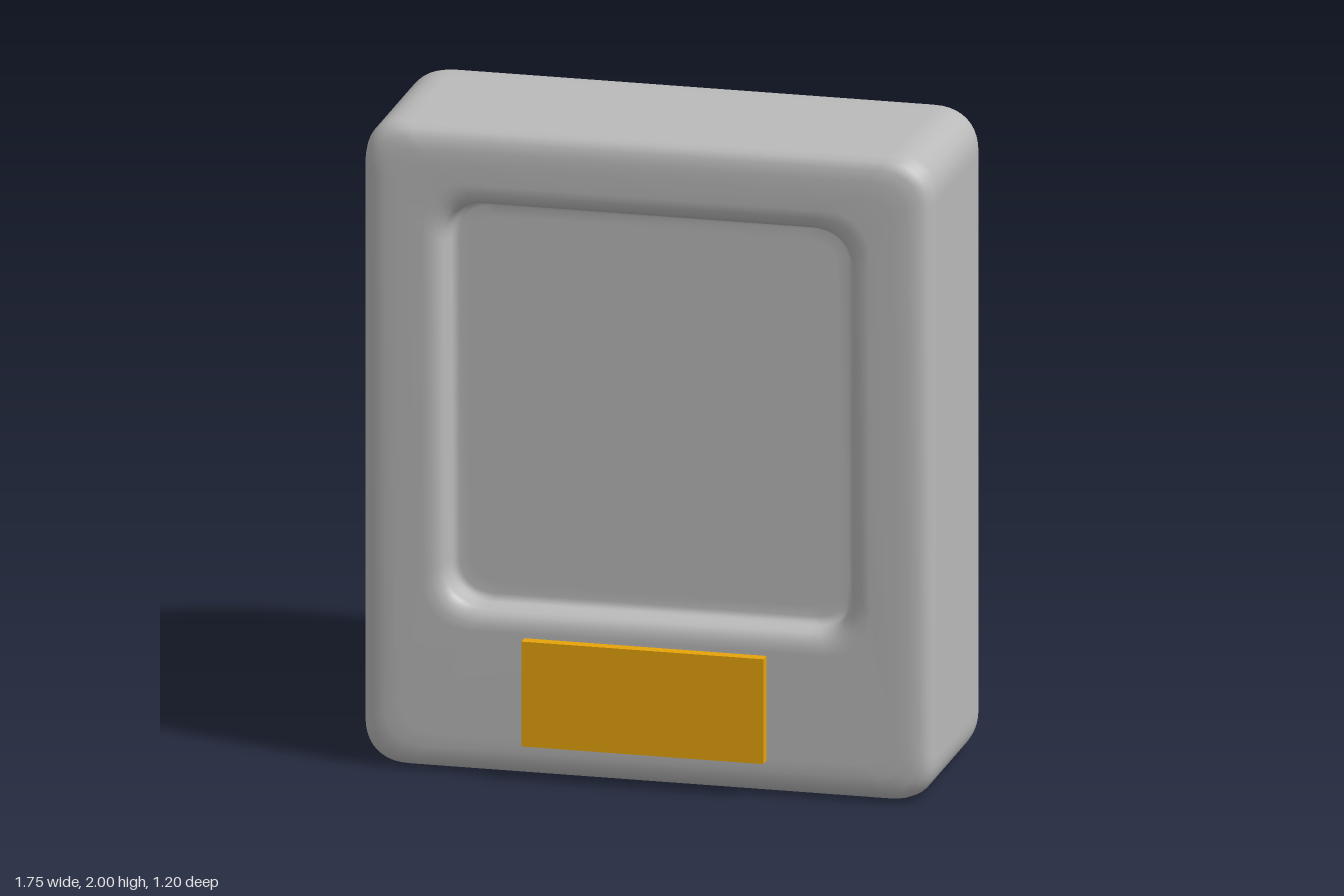
import * as THREE from 'three';

const CORNER = 10; // segments per rounded corner
const soften = (v) => Math.sign(v) * Math.abs(v) ** 0.85; // slightly squared corner curve

// Rounded rectangle, counterclockwise seen from +z, with bottom and top corner radii
function roundedLoop(hw, y0, y1, rb, rt = rb) {
  const pts = [];
  const corners = [
    [hw - rb, y0 + rb, rb, -0.5],
    [hw - rt, y1 - rt, rt, 0],
    [rt - hw, y1 - rt, rt, 0.5],
    [rb - hw, y0 + rb, rb, 1],
  ];
  for (const [cx, cy, r, start] of corners) {
    for (let k = 0; k <= CORNER; k++) {
      const a = (start + (0.5 * k) / CORNER) * Math.PI;
      pts.push(new THREE.Vector2(cx + r * soften(Math.cos(a)), cy + r * soften(Math.sin(a))));
    }
  }
  return pts;
}

// Skin through sections of [z, half width, bottom, top, bottom radius, top radius]
function loft(sections) {
  const pos = [], idx = [];
  const n = 4 * (CORNER + 1);
  sections.forEach(([z, ...rect], i) => {
    for (const p of roundedLoop(...rect)) pos.push(p.x, p.y, z);
    if (i === 0) return;
    for (let j = 0; j < n; j++) {
      const a = (i - 1) * n + j, b = (i - 1) * n + ((j + 1) % n);
      idx.push(a, b, b + n, a, b + n, a + n);
    }
  });
  const geo = new THREE.BufferGeometry();
  geo.setAttribute('position', new THREE.Float32BufferAttribute(pos, 3));
  geo.setIndex(idx);
  geo.computeVertexNormals();
  return geo;
}

function panel([z, ...rect], facingBack) {
  const geo = new THREE.ShapeGeometry(new THREE.Shape(roundedLoop(...rect)));
  if (facingBack) geo.rotateY(Math.PI);
  return geo.translate(0, 0, z);
}

export function createModel() {
  const casingGrey = new THREE.MeshStandardMaterial({ color: 0xbababa });
  casingGrey.name = 'casing grey';
  const plateAmber = new THREE.MeshStandardMaterial({ color: 0xe6a40a });
  plateAmber.name = 'plate amber';

  const model = new THREE.Group();
  model.name = 'monitor';
  const add = (name, geo, material) => {
    const mesh = new THREE.Mesh(geo, material);
    mesh.name = name;
    model.add(mesh);
    return mesh;
  };

  // Tapered rear housing
  const rear = [
    [-0.6, 0.43, 0.23, 1.28, 0.05, 0.08],
    [-0.597, 0.465, 0.19, 1.32, 0.05, 0.09],
    [-0.585, 0.52, 0.135, 1.38, 0.05, 0.1],
    [-0.56, 0.57, 0.09, 1.44, 0.055, 0.11],
    [-0.52, 0.615, 0.055, 1.495, 0.06, 0.12],
    [-0.44, 0.675, 0.025, 1.555, 0.07, 0.12],
    [-0.36, 0.722, 0.012, 1.61, 0.08, 0.13],
    [-0.28, 0.767, 0.006, 1.665, 0.09, 0.13],
    [-0.2, 0.807, 0.003, 1.725, 0.1, 0.13],
    [-0.16, 0.825, 0.002, 1.765, 0.11, 0.13],
    [-0.12, 0.84, 0.001, 1.825, 0.115, 0.13],
    [-0.09, 0.852, 0.001, 1.89, 0.12, 0.13],
    [-0.07, 0.858, 0, 1.95, 0.125, 0.135],
    [-0.055, 0.863, 0, 1.98, 0.13, 0.14],
    [-0.035, 0.868, 0, 1.995, 0.135, 0.14],
    [-0.01, 0.873, 0, 2, 0.14],
    [0.03, 0.875, 0, 2, 0.14],
  ];
  // Front casing, rolled over into the bezel
  const front = [
    [0.48, 0.875, 0, 2, 0.14],
    [0.51, 0.87, 0.005, 1.995, 0.138],
    [0.535, 0.857, 0.018, 1.982, 0.133],
    [0.55, 0.835, 0.04, 1.96, 0.125],
    [0.556, 0.8, 0.075, 1.925, 0.12],
    [0.557, 0.76, 0.115, 1.885, 0.12],
  ];
  // Lip and wall of the screen recess, rounded into its floor
  const lip = [
    [0.557, 0.685, 0.445, 1.825, 0.15],
    [0.554, 0.66, 0.47, 1.8, 0.145],
    [0.546, 0.638, 0.492, 1.778, 0.135],
    [0.53, 0.624, 0.506, 1.764, 0.13],
    [0.51, 0.62, 0.51, 1.76, 0.125],
    [0.472, 0.617, 0.513, 1.757, 0.125],
    [0.46, 0.61, 0.52, 1.75, 0.12],
    [0.455, 0.595, 0.535, 1.735, 0.11],
    [0.455, 0.56, 0.57, 1.7, 0.09],
  ];
  const sections = [...rear, ...front, ...lip];
  add('casing', loft(sections), casingGrey);
  add('casingBack', panel(sections[0], true), casingGrey);
  add('screen', panel(sections[sections.length - 1], false), casingGrey);

  // Front plate below the screen
  add('frontPlate', new THREE.BoxGeometry(0.74, 0.325, 0.036), plateAmber).position.set(0, 0.273, 0.582);

  return model;
}
